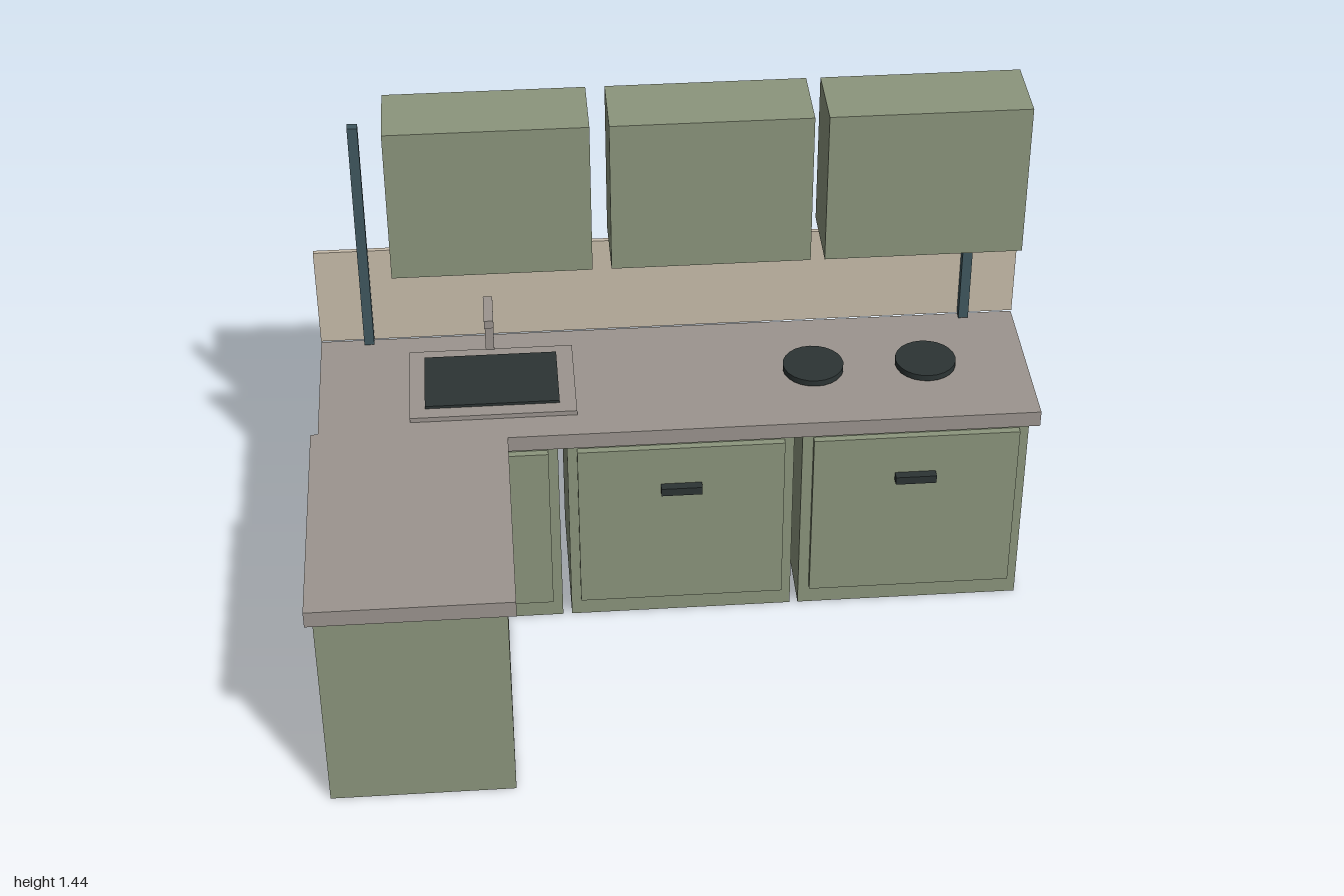
import * as THREE from 'three';

const mat = (name, color) => {
  const m = new THREE.MeshStandardMaterial({ color });
  m.name = name;
  return m;
};

export function createModel() {
  const sage = mat('sage', 0x8c967d);
  const stone = mat('stone', 0x9c958f);
  const beige = mat('beige', 0xc8bdab);
  const black = mat('black', 0x2c3434);
  const steel = mat('blueSteel', 0x40585f);

  const model = new THREE.Group();
  model.name = 'kitchen';

  // Box given by its limits on each axis
  const box = (name, material, [x0, x1], [y0, y1], [z0, z1], parent = model) => {
    const mesh = new THREE.Mesh(new THREE.BoxGeometry(x1 - x0, y1 - y0, z1 - z0), material);
    mesh.position.set((x0 + x1) / 2, (y0 + y1) / 2, (z0 + z1) / 2);
    mesh.name = name;
    parent.add(mesh);
    return mesh;
  };

  // Base cabinets along the wall, each with a raised door and a handle
  [-0.98, -0.305, 0.345].forEach((x, i) => {
    const unit = new THREE.Group();
    unit.name = 'baseCabinet';
    const right = [-0.33, 0.322, 0.975][i];
    box('cabinetBody', sage, [x, right], [0, 0.61], [-0.555, -0.115], unit);
    box('cabinetDoor', sage, [right - 0.6, right - 0.027], [0.063, 0.592], [-0.115, -0.095], unit);
    const mid = right - 0.314;
    box('doorHandle', black, [mid - 0.057, mid + 0.057], [0.447, 0.471], [-0.095, -0.07], unit);
    model.add(unit);
  });

  // Cabinet under the short leg of the counter
  box('peninsulaCabinet', sage, [-0.98, -0.487], [0, 0.61], [-0.097, 0.585]);

  // L-shaped counter, outlined in plan (x, -z) and extruded upwards
  const outline = [
    [-0.98, 0.58], [-0.98, 0.143], [-1, 0.143], [-1, -0.6],
    [-0.465, -0.6], [-0.465, 0.088], [1, 0.088], [1, 0.58],
  ].map(([x, y]) => new THREE.Vector2(x, y));
  const counterGeo = new THREE.ExtrudeGeometry(new THREE.Shape(outline), { depth: 0.047, bevelEnabled: false });
  counterGeo.rotateX(-Math.PI / 2);
  const counter = new THREE.Mesh(counterGeo, stone);
  counter.position.y = 0.615;
  counter.name = 'countertop';
  model.add(counter);

  // Backsplash and wall posts
  box('backsplash', beige, [-0.98, 1], [0.672, 0.97], [-0.583, -0.57]);
  for (const x of [-0.843, 0.855]) {
    box('wallPost', steel, [x - 0.014, x + 0.014], [0.672, 1.38], [-0.568, -0.542]);
  }

  // Upper cabinets
  for (const x of [-0.76, -0.16, 0.427]) {
    box('upperCabinet', sage, [x, x + 0.548], [0.994, 1.444], [-0.605, -0.392]);
  }

  // Sink and tap
  const sink = new THREE.Group();
  sink.name = 'sink';
  box('sinkRim', stone, [-0.73, -0.272], [0.66, 0.676], [-0.49, -0.177], sink);
  box('sinkBasin', black, [-0.688, -0.318], [0.675, 0.684], [-0.45, -0.218], sink);
  box('tapPost', stone, [-0.515, -0.491], [0.66, 0.838], [-0.51, -0.486], sink);
  box('tapSpout', stone, [-0.516, -0.49], [0.826, 0.85], [-0.496, -0.375], sink);
  model.add(sink);

  // Hob rings
  for (const x of [0.397, 0.714]) {
    const ring = new THREE.Mesh(new THREE.CylinderGeometry(0.085, 0.085, 0.018, 24), black);
    ring.position.set(x, 0.676, -0.335);
    ring.name = 'hobRing';
    model.add(ring);
  }

  return model;
}
